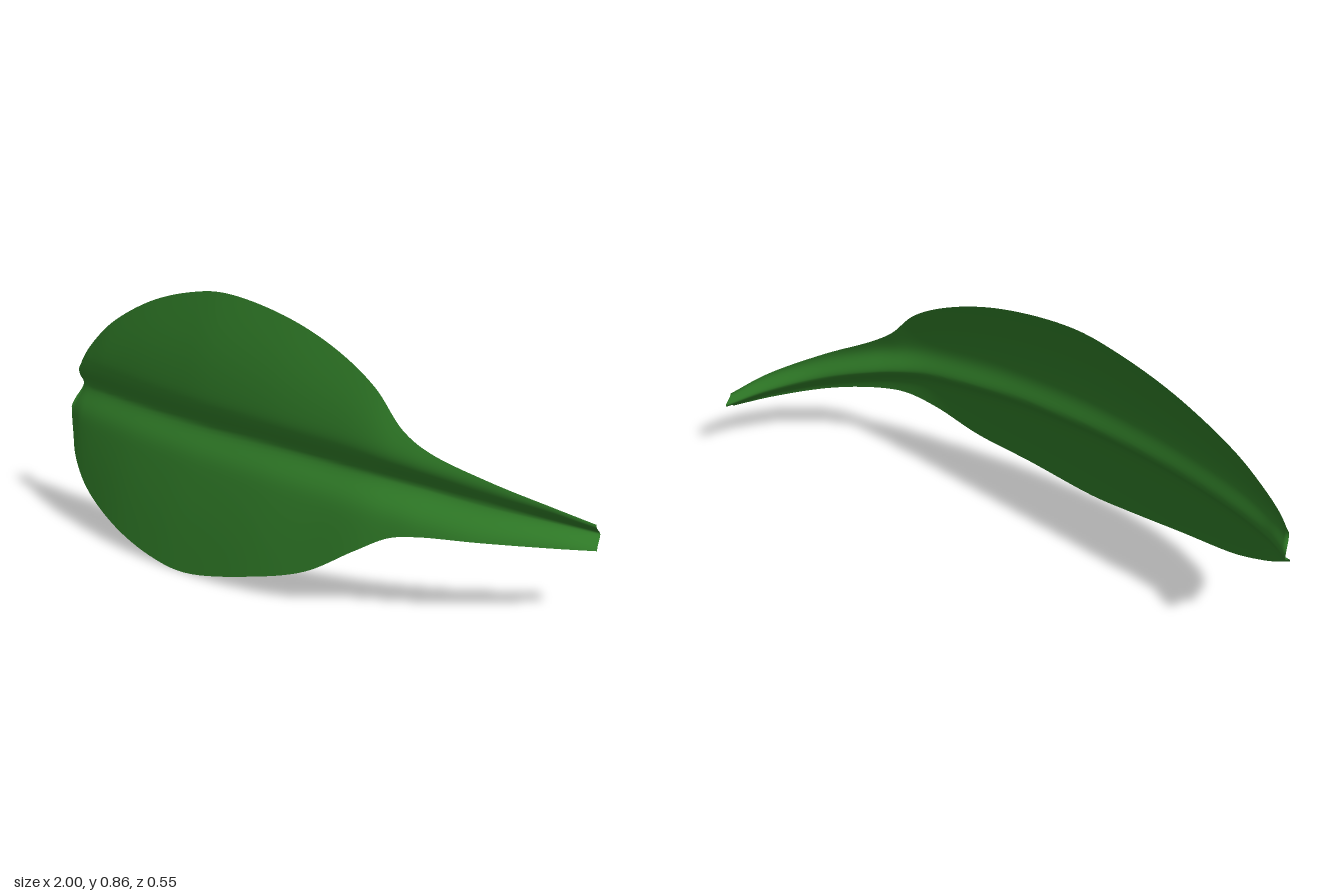
import * as THREE from 'three';

// Stations from blunt tip to stalk end: x, top y, top z, bottom y, bottom z, midrib y, groove depth
const stations = [
  [-1.0, 0.50, -0.24, 0.36, -0.20, 0.43, 0.055],
  [-0.95, 0.555, -0.232, 0.285, -0.14, 0.44, 0.045],
  [-0.9, 0.61, -0.222, 0.22, -0.08, 0.44, 0.04],
  [-0.8, 0.69, -0.195, 0.14, 0.0, 0.445, 0.037],
  [-0.6, 0.79, -0.14, 0.06, 0.115, 0.445, 0.035],
  [-0.4, 0.845, -0.083, 0.012, 0.195, 0.44, 0.035],
  [-0.25, 0.86, -0.04, 0.0, 0.235, 0.435, 0.035],
  [0.0, 0.82, 0.027, 0.045, 0.27, 0.425, 0.035],
  [0.2, 0.745, 0.077, 0.10, 0.273, 0.41, 0.036],
  [0.35, 0.65, 0.117, 0.185, 0.257, 0.395, 0.038],
  [0.45, 0.54, 0.142, 0.235, 0.232, 0.38, 0.042],
  [0.53, 0.485, 0.142, 0.245, 0.212, 0.365, 0.045],
  [0.7, 0.41, 0.105, 0.237, 0.155, 0.325, 0.045],
  [0.88, 0.33, 0.022, 0.217, 0.05, 0.275, 0.045],
  [1.0, 0.272, -0.06, 0.20, -0.035, 0.235, 0.042],
];
const rail = (pick) => new THREE.CatmullRomCurve3(stations.map((s) => new THREE.Vector3(...pick(s))));

export function createModel() {
  const group = new THREE.Group();
  const topEdge = rail(([x, y, z]) => [x >= 1 ? 0.982 : x <= -1 ? -0.988 : x, y, z]);
  const bottomEdge = rail(([x, , , y, z]) => [x >= 1 ? 0.995 : x, y, z]);
  const midrib = rail(([x, , , , , y, depth]) => [x, y, depth]);

  // Sheet stretched between the two edges, creased backwards along the midrib
  const geometry = new THREE.PlaneGeometry(1, 1, 112, 72);
  const pos = geometry.attributes.position;
  const p = new THREE.Vector3();
  for (let i = 0; i < pos.count; i++) {
    const along = pos.getX(i) + 0.5;
    const across = pos.getY(i) + 0.5;
    const top = topEdge.getPoint(along);
    const bottom = bottomEdge.getPoint(along);
    const rib = midrib.getPoint(along);
    const width = top.distanceTo(bottom);
    const ribAt = (rib.y - bottom.y) / (top.y - bottom.y);
    const away = (across - ribAt) * width;
    const grooveWidth = Math.min(0.055, width * 0.3);
    p.lerpVectors(bottom, top, across);
    p.z -= rib.z * Math.exp(-((away / grooveWidth) ** 2));
    // Gentle swelling of each half of the blade
    const side = across > ribAt ? (across - ribAt) / (1 - ribAt) : (ribAt - across) / ribAt;
    p.z += Math.sin(Math.PI * side) * width * (across > ribAt ? 0.025 : 0.01);
    pos.setXYZ(i, p.x, p.y, p.z);
  }
  geometry.computeVertexNormals();

  const material = new THREE.MeshStandardMaterial({ color: 0x2e7826, side: THREE.DoubleSide });
  const leaf = new THREE.Mesh(geometry, material);
  leaf.name = 'leafBlade';
  group.add(leaf);
  return group;
}
